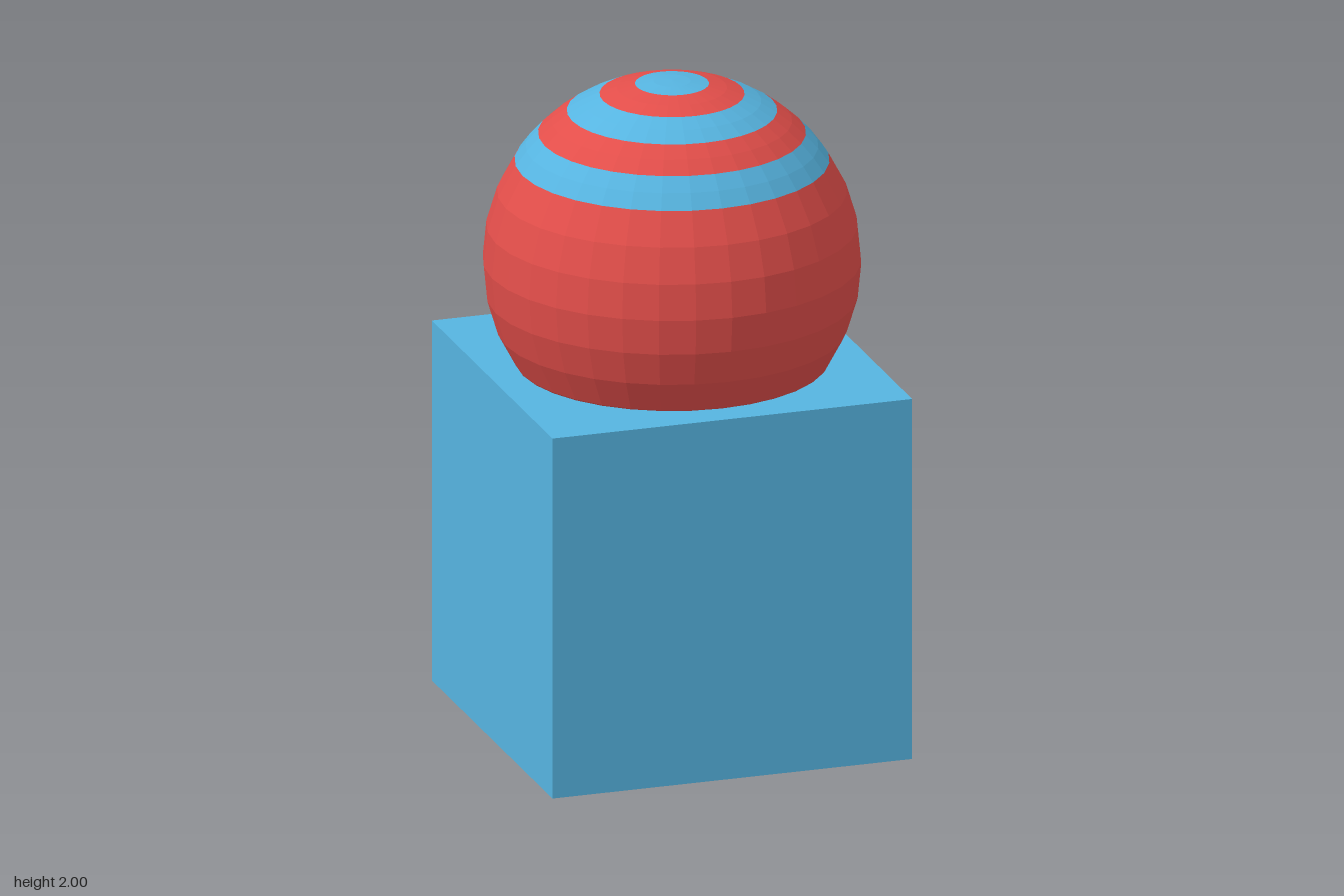
import * as THREE from 'three';

export function createModel() {
  const group = new THREE.Group();
  const blue = new THREE.MeshStandardMaterial({ color: 0x56b4e0, flatShading: true });
  const red = new THREE.MeshStandardMaterial({ color: 0xe24e4a, flatShading: true });

  // Square pedestal
  const base = new THREE.Mesh(new THREE.BoxGeometry(1.12, 1.125, 1.12), blue);
  base.name = 'pedestal';
  base.position.y = 1.125 / 2;
  group.add(base);

  // Ball sunk into the pedestal: five alternating bands at the top, then a plain body
  const ball = new THREE.Group();
  ball.name = 'ball';
  ball.position.y = 1.44;
  const rings = 16, step = Math.PI / rings, bands = 5;
  const addZone = (name, first, count, material) => {
    const zone = new THREE.Mesh(
      new THREE.SphereGeometry(0.56, 32, count, 0, Math.PI * 2, first * step, count * step), material);
    zone.name = name;
    ball.add(zone);
  };
  for (let i = 0; i < bands; i++) addZone(`band${i + 1}`, i, 1, i % 2 ? red : blue);
  addZone('ballBody', bands, rings - bands, red);
  group.add(ball);

  return group;
}
